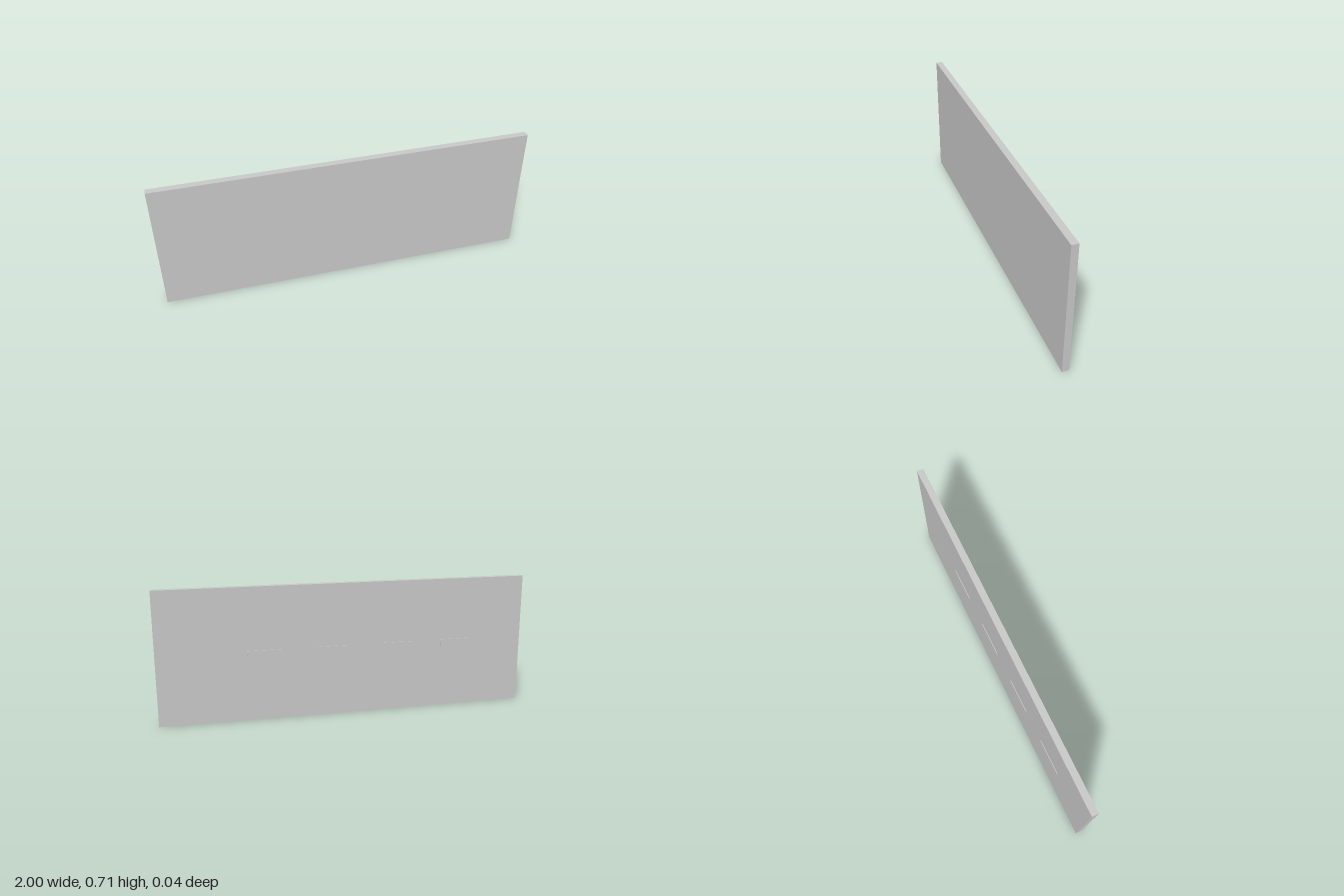
import * as THREE from 'three';

export function createModel() {
  const model = new THREE.Group();
  const material = new THREE.MeshStandardMaterial({ color: 0xcccccc });

  function addBox(name, width, height, depth, x, y, z) {
    const mesh = new THREE.Mesh(new THREE.BoxGeometry(width, height, depth), material);
    mesh.name = name;
    mesh.position.set(x, y, z);
    model.add(mesh);
  }

  // Flat upright panel
  addBox('panel', 2, 0.712, 0.036, 0, 0.356, 0.002);

  // Row of four thin raised strips on the back, set slightly to one side
  for (let i = 0; i < 4; i++) {
    addBox(`backStrip${i + 1}`, 0.187, 0.041, 0.008, -0.623 + i * 0.355, 0.356, -0.016);
  }

  return model;
}
